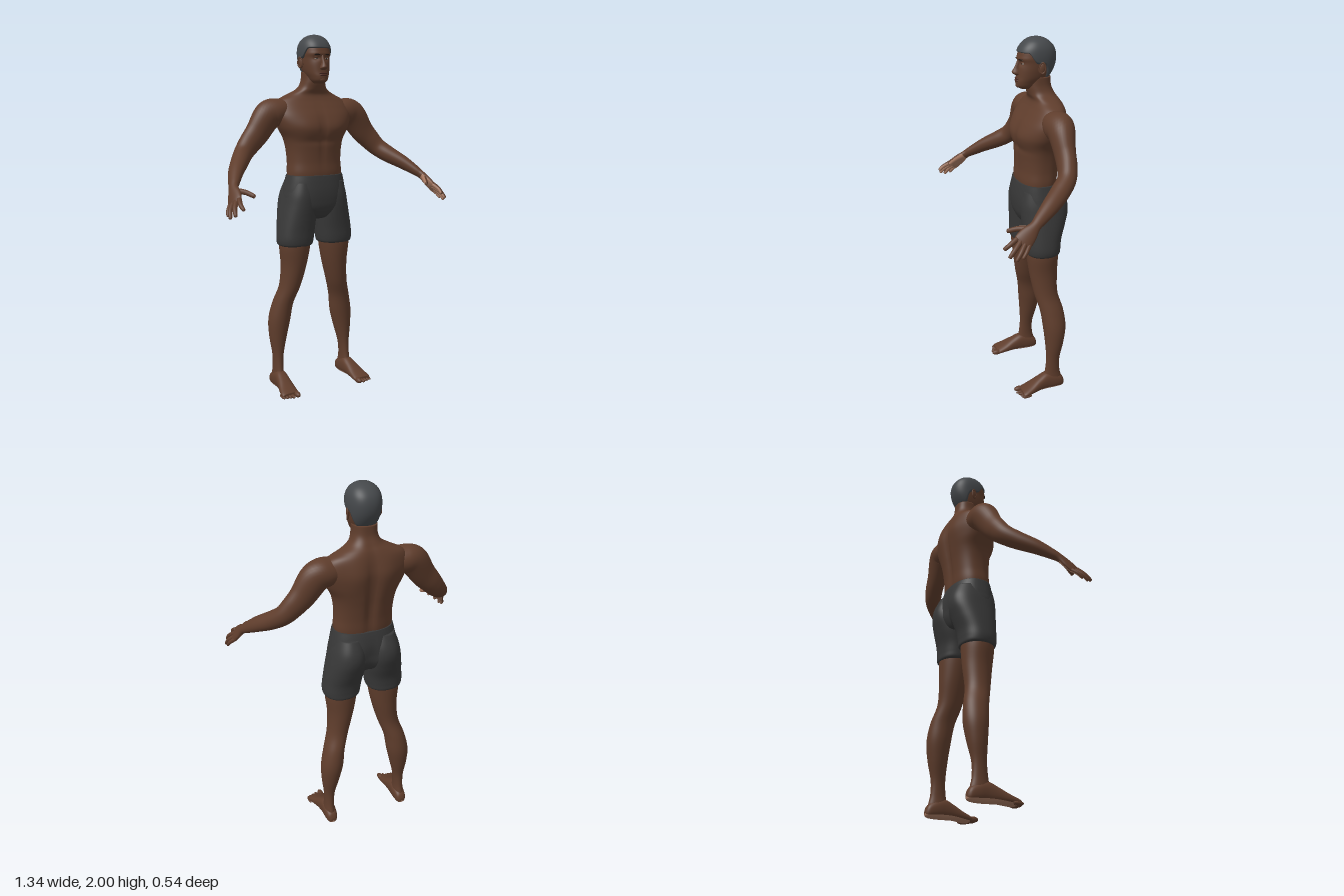
import * as THREE from 'three';

const mat = (name, hex) => {
  const m = new THREE.MeshStandardMaterial({ color: hex });
  m.name = name;
  return m;
};

// Catmull-Rom blend of rows of numbers, u from 0 to 1
function sample(rows, u) {
  const n = rows.length - 1, f = Math.min(Math.max(u, 0), 1) * n;
  const i = Math.min(Math.floor(f), n - 1), t = f - i;
  const [a, b, c, d] = [-1, 0, 1, 2].map(k => rows[Math.min(Math.max(i + k, 0), n)]);
  return b.map((p, k) => p + 0.5 * t * (c[k] - a[k] + t * (2 * a[k] - 5 * p + 4 * c[k] - d[k]
    + t * (3 * (p - c[k]) + d[k] - a[k]))));
}

// Row whose first value equals key (first values rise steadily)
function sampleAt(rows, key) {
  let lo = 0, hi = 1;
  for (let k = 0; k < 24; k++) {
    const m = (lo + hi) / 2;
    if (sample(rows, m)[0] < key) lo = m; else hi = m;
  }
  return sample(rows, lo);
}

// Closed skin over rings; point(u, angle) gives [x, y, z], pick(u, angle) a material slot
function skinOver(nu, nv, point, pick) {
  const pos = [], tris = [[], []];
  for (let i = 0; i <= nu; i++)
    for (let j = 0; j < nv; j++) pos.push(...point(i / nu, j / nv * Math.PI * 2));
  for (const i of [0, nu]) {
    const c = [0, 0, 0];
    for (let k = 0; k < nv * 3; k++) c[k % 3] += pos[i * nv * 3 + k] / nv;
    pos.push(...c);
  }
  const p0 = (nu + 1) * nv, p1 = p0 + 1;
  for (let i = 0; i <= nu; i++)
    for (let j = 0; j < nv; j++) {
      const a = i * nv + j, b = i * nv + (j + 1) % nv;
      const out = tris[pick ? pick((i + 0.5) / nu, (j + 0.5) / nv * Math.PI * 2) : 0];
      if (i === 0) out.push(p0, a, b);
      if (i === nu) out.push(p1, b, a);
      else out.push(a, a + nv, b, b, a + nv, b + nv);
    }
  const index = [...tris[0], ...tris[1]];
  // turn the faces outward
  const v = [0, 1, 2].map(() => new THREE.Vector3());
  let volume = 0;
  for (let k = 0; k < index.length; k += 3) {
    v.forEach((p, q) => p.fromArray(pos, index[k + q] * 3));
    volume += v[0].dot(v[1].cross(v[2]));
  }
  const g = new THREE.BufferGeometry();
  g.setAttribute('position', new THREE.Float32BufferAttribute(pos, 3));
  g.setIndex(index);
  if (volume < 0) flip(g);
  if (pick) {
    g.addGroup(0, tris[0].length, 0);
    g.addGroup(tris[0].length, tris[1].length, 1);
  }
  g.computeVertexNormals();
  return g;
}

function flip(g) {
  const ix = g.index;
  for (let k = 0; k < ix.count; k += 3) {
    const t = ix.getX(k);
    ix.setX(k, ix.getX(k + 1));
    ix.setX(k + 1, t);
  }
}

const pw = (c, e) => Math.sign(c) * Math.abs(c) ** e;
const ring = ([, a0, a1, b0, b1], ang, e, grow = 0) => [
  (a0 + a1) / 2 + ((a1 - a0) / 2 + grow) * pw(Math.cos(ang), e),
  (b0 + b1) / 2 + (Math.abs(b0 - b1) / 2 + grow) * pw(Math.sin(ang), e)];

// Rings stacked up y: rows [y, x0, x1, zFront, zBack]
const stack = (rows, e = 0.9, bend = p => p, nu = 48, nv = 48) => skinOver(nu, nv, (u, a) => {
  const r = sample(rows, u), [x, z] = ring(r, a, e);
  return bend([x, r[0], z]);
});

// Limb along a path: rows [x, y, z, thickness, width]; width lies along ACROSS
const ACROSS = new THREE.Vector3(-0.36, 0.4, 0.84);
const limb = (rows, nu, nv, pick) => skinOver(nu, nv, (u, a) => {
  const r = sample(rows, u);
  const T = new THREE.Vector3(...sample(rows, u + 0.01)).sub(new THREE.Vector3(...sample(rows, u - 0.01))).normalize();
  const V = ACROSS.clone().addScaledVector(T, -ACROSS.dot(T)).normalize();
  const U = T.clone().cross(V);
  return new THREE.Vector3(...r).addScaledVector(U, r[3] * Math.cos(a)).addScaledVector(V, r[4] * Math.sin(a)).toArray();
}, pick);

const ball = (x, y, z, rx, ry, rz) => new THREE.SphereGeometry(1, 20, 14).scale(rx, ry, rz).translate(x, y, z);
const bump = (d, w) => Math.exp(-((d / w) ** 2));
const sym = rows => rows.map(([y, w, f, b]) => [y, -w, w, f, b]);

export function createModel() {
  const group = new THREE.Group();
  const skin = mat('skin', 0x5f3d2c), palm = mat('paleSkin', 0xa37760), lip = mat('lips', 0x4c2b22);
  const cloth = mat('shortsCloth', 0x383838), hair = mat('hair', 0x45484b);
  const white = mat('eyeWhite', 0x9a9088), dark = mat('darkBrown', 0x1c1410);
  const add = (name, g, m) => {
    const mesh = new THREE.Mesh(g, m);
    mesh.name = name;
    group.add(mesh);
  };
  const pair = (name, g, m) => {
    add('left' + name, g, m);
    const r = g.clone().scale(-1, 1, 1);
    flip(r);
    r.computeVertexNormals();
    add('right' + name, r, m);
  };

  // Torso and neck, with chest, spine and shoulder blade relief
  add('torso', stack(sym([
    [1.2, 0.156, -0.02, -0.218], [1.25, 0.161, -0.016, -0.225], [1.31, 0.158, -0.02, -0.23],
    [1.38, 0.163, -0.018, -0.24], [1.44, 0.178, -0.012, -0.25], [1.5, 0.212, -0.008, -0.256],
    [1.56, 0.232, -0.026, -0.258], [1.61, 0.228, -0.055, -0.252], [1.65, 0.2, -0.08, -0.244],
    [1.68, 0.14, -0.09, -0.234], [1.71, 0.085, -0.078, -0.218], [1.75, 0.066, -0.068, -0.2],
    [1.8, 0.064, -0.07, -0.195]]), 0.85, ([x, y, z]) => {
    const front = Math.max(0, Math.min(1, (z + 0.12) / 0.06)), back = Math.max(0, Math.min(1, (-0.15 - z) / 0.05));
    z += front * (0.01 * bump(Math.abs(x) - 0.085, 0.07) * bump(y - 1.5, 0.06)
      - 0.008 * bump(x, 0.015) * bump(y - 1.45, 0.14) - 0.006 * bump(y - 1.425, 0.02) * bump(x, 0.15));
    z += back * (0.02 * bump(x, 0.025) * bump(y - 1.43, 0.2) - 0.012 * bump(Math.abs(x) - 0.08, 0.06) * bump(y - 1.57, 0.09));
    return [x, y, z];
  }, 80, 80), skin);

  // Shorts
  add('shortsSeat', stack(sym([
    [0.985, 0.03, -0.07, -0.17], [1.0, 0.09, -0.035, -0.215], [1.05, 0.17, -0.008, -0.245], [1.1, 0.19, 0, -0.25],
    [1.15, 0.184, 0.001, -0.248], [1.2, 0.174, -0.004, -0.238], [1.236, 0.166, -0.01, -0.228]]), 0.85,
  ([x, y, z]) => [x, y, z < -0.16 ? z + 0.018 * bump(x, 0.02) * bump(y - 1.07, 0.09) : z]), cloth);
  pair('ShortsLeg', stack([
    [0.84, 0.034, 0.218, -0.034, -0.21], [0.85, 0.026, 0.226, -0.026, -0.217], [0.88, 0.02, 0.23, -0.022, -0.219],
    [0.93, 0.013, 0.225, -0.02, -0.226], [1.0, 0.003, 0.214, -0.014, -0.25], [1.07, 0.001, 0.2, -0.008, -0.27],
    [1.13, 0.006, 0.187, -0.008, -0.266], [1.2, 0.02, 0.165, -0.02, -0.235]], 0.9), cloth);

  // Legs
  pair('Leg', stack([
    [0.02, 0.2, 0.25, -0.11, -0.2], [0.06, 0.194, 0.255, -0.1, -0.212], [0.12, 0.197, 0.251, -0.113, -0.2],
    [0.2, 0.19, 0.253, -0.12, -0.2], [0.3, 0.165, 0.266, -0.115, -0.222], [0.4, 0.142, 0.268, -0.105, -0.236],
    [0.5, 0.128, 0.246, -0.092, -0.226], [0.6, 0.095, 0.215, -0.066, -0.202], [0.72, 0.062, 0.206, -0.045, -0.205],
    [0.83, 0.04, 0.216, -0.032, -0.21], [0.9, 0.035, 0.21, -0.035, -0.21]], 1), skin);

  // Feet with pale soles, rows [z, x0, x1, yBottom, yTop]
  const footRows = [
    [-0.227, 0.21, 0.238, 0.014, 0.04], [-0.212, 0.195, 0.253, 0.003, 0.07], [-0.17, 0.188, 0.26, 0, 0.095],
    [-0.12, 0.188, 0.262, 0.001, 0.106], [-0.07, 0.188, 0.27, 0.004, 0.085], [-0.02, 0.186, 0.283, 0.002, 0.057],
    [0.02, 0.187, 0.291, 0, 0.038], [0.038, 0.192, 0.286, 0.005, 0.028]];
  pair('Foot', skinOver(36, 32, (u, a) => {
    const r = sample(footRows, u), [x, y] = ring(r, a, 0.85);
    return [x, y, r[0]];
  }, (u, a) => Math.sin(a) < -0.55 ? 1 : 0), [skin, palm]);
  for (let i = 0; i < 5; i++) {
    const r = i ? 0.0105 - i * 0.0004 : 0.016;
    pair('Toe' + (i + 1), ball(0.204 + (i ? 0.009 + i * 0.0178 : 0), r, 0.042 - i * 0.0055 + (i === 1 ? 0.003 : 0), r, r, 0.03), skin);
  }

  // Arms running into the palms
  const palmSide = (u, a) => Math.cos(a) > 0.2 ? 1 : 0;
  pair('Arm', limb([
    [0.13, 1.585, -0.155, 0.05, 0.06], [0.205, 1.583, -0.155, 0.074, 0.075], [0.268, 1.565, -0.156, 0.08, 0.07],
    [0.335, 1.475, -0.15, 0.07, 0.054], [0.385, 1.42, -0.142, 0.062, 0.05], [0.432, 1.37, -0.122, 0.053, 0.048],
    [0.478, 1.328, -0.07, 0.047, 0.049], [0.53, 1.285, 0.0, 0.038, 0.044], [0.572, 1.24, 0.07, 0.027, 0.033],
    [0.59, 1.217, 0.103, 0.021, 0.028], [0.602, 1.188, 0.138, 0.019, 0.041], [0.613, 1.16, 0.17, 0.016, 0.046],
    [0.62, 1.146, 0.187, 0.009, 0.04]], 96, 32, (u, a) => u > 0.77 ? palmSide(u, a) : 0), [skin, palm]);

  // Fingers and thumb: [name, root, middle joint, tip, radius]
  const fingers = [
    ['IndexFinger', [0.602, 1.17, 0.2], [0.612, 1.149, 0.238], [0.609, 1.128, 0.266], 0.0115],
    ['MiddleFinger', [0.611, 1.159, 0.184], [0.636, 1.13, 0.222], [0.645, 1.1, 0.251], 0.012],
    ['RingFinger', [0.621, 1.148, 0.165], [0.649, 1.118, 0.196], [0.66, 1.086, 0.221], 0.0115],
    ['LittleFinger', [0.628, 1.14, 0.147], [0.65, 1.115, 0.17], [0.659, 1.092, 0.189], 0.01],
    ['Thumb', [0.588, 1.205, 0.128], [0.556, 1.2, 0.178], [0.533, 1.185, 0.222], 0.0135]];
  for (const [name, a, b, c, r] of fingers) {
    const end = c.map((v, k) => v + (c[k] - b[k]) * 0.1);
    pair(name, limb([[...a, r * 1.15, r * 1.15], [...b, r, r], [...c, r * 0.75, r * 0.8], [...end, r * 0.2, r * 0.2]],
      15, 14, palmSide), [skin, palm]);
  }

  // Head
  const headRows = sym([
    [1.738, 0.026, -0.035, -0.1], [1.752, 0.042, -0.014, -0.13], [1.775, 0.054, -0.01, -0.155],
    [1.8, 0.065, -0.014, -0.18], [1.835, 0.073, -0.017, -0.202], [1.87, 0.077, -0.022, -0.214],
    [1.91, 0.079, -0.022, -0.216], [1.945, 0.073, -0.034, -0.205], [1.972, 0.056, -0.058, -0.18],
    [1.988, 0.03, -0.085, -0.15], [1.993, 0.006, -0.11, -0.125]]);
  const HEAD_E = 0.88;
  const faceZ = (x, y) => {
    const [, , w, f, b] = sampleAt(headRows, y);
    return (f + b) / 2 + (f - b) / 2 * (1 - (Math.abs(x) / w) ** (2 / HEAD_E)) ** (HEAD_E / 2);
  };
  add('head', stack(headRows, HEAD_E, ([x, y, z]) => [x, y, z > -0.1
    ? z - 0.009 * bump(Math.abs(x) - 0.03, 0.016) * bump(y - 1.872, 0.012) + 0.004 * bump(y - 1.895, 0.01) : z], 64, 64), skin);

  // Cropped hair: high at the forehead, low at the nape
  add('hair', skinOver(28, 64, (u, a) => {
    const s = Math.min(1, Math.max(0, (0.62 - Math.sin(a)) / 0.5));
    const nape = Math.min(1, Math.max(0, (-0.1 - Math.sin(a)) / 0.7));
    const line = 1.925 - 0.055 * s * s * (3 - 2 * s) - 0.085 * nape * nape * (3 - 2 * nape);
    const y = line + (1.9925 - line) * Math.sin(u * Math.PI / 2);
    const [x, z] = ring(sampleAt(headRows, y), a, HEAD_E, u === 0 ? -0.004 : 0.008);
    return [x, y + 0.008 * u, z];
  }), hair);

  // Face and ears
  add('nose', stack(sym([
    [1.808, 0.01, -0.012, -0.04], [1.816, 0.02, 0.004, -0.04], [1.826, 0.019, 0.012, -0.04],
    [1.845, 0.011, 0.002, -0.04], [1.87, 0.009, -0.011, -0.04], [1.892, 0.008, -0.019, -0.04]]), 1, p => p, 20, 20), skin);
  add('upperLip', ball(0, 1.792, faceZ(0, 1.792) - 0.004, 0.026, 0.006, 0.01), lip);
  add('lowerLip', ball(0, 1.782, faceZ(0, 1.782) - 0.004, 0.022, 0.0065, 0.01), lip);
  add('chin', ball(0, 1.758, -0.024, 0.024, 0.015, 0.015), skin);
  const eyeZ = faceZ(0.03, 1.872) - 0.012;
  pair('Eye', ball(0.03, 1.871, eyeZ, 0.012, 0.0055, 0.008), white);
  pair('Iris', ball(0.03, 1.871, eyeZ + 0.004, 0.005, 0.005, 0.005), dark);
  pair('UpperEyelid', ball(0.03, 1.877, eyeZ + 0.001, 0.015, 0.005, 0.009), skin);
  pair('Eyebrow', ball(0, 0, 0, 0.018, 0.0035, 0.005).rotateY(0.35).translate(0.032, 1.892, faceZ(0.032, 1.892) + 0.002), dark);
  pair('Ear', ball(0, 0, 0, 0.007, 0.029, 0.017).rotateX(-0.2).rotateY(-0.35).translate(0.081, 1.85, -0.122), skin);
  pair('EarRim', new THREE.TorusGeometry(0.02, 0.004, 8, 24).scale(0.8, 1.35, 1).rotateY(Math.PI / 2 - 0.35)
    .translate(0.085, 1.852, -0.124), skin);

  return group;
}
